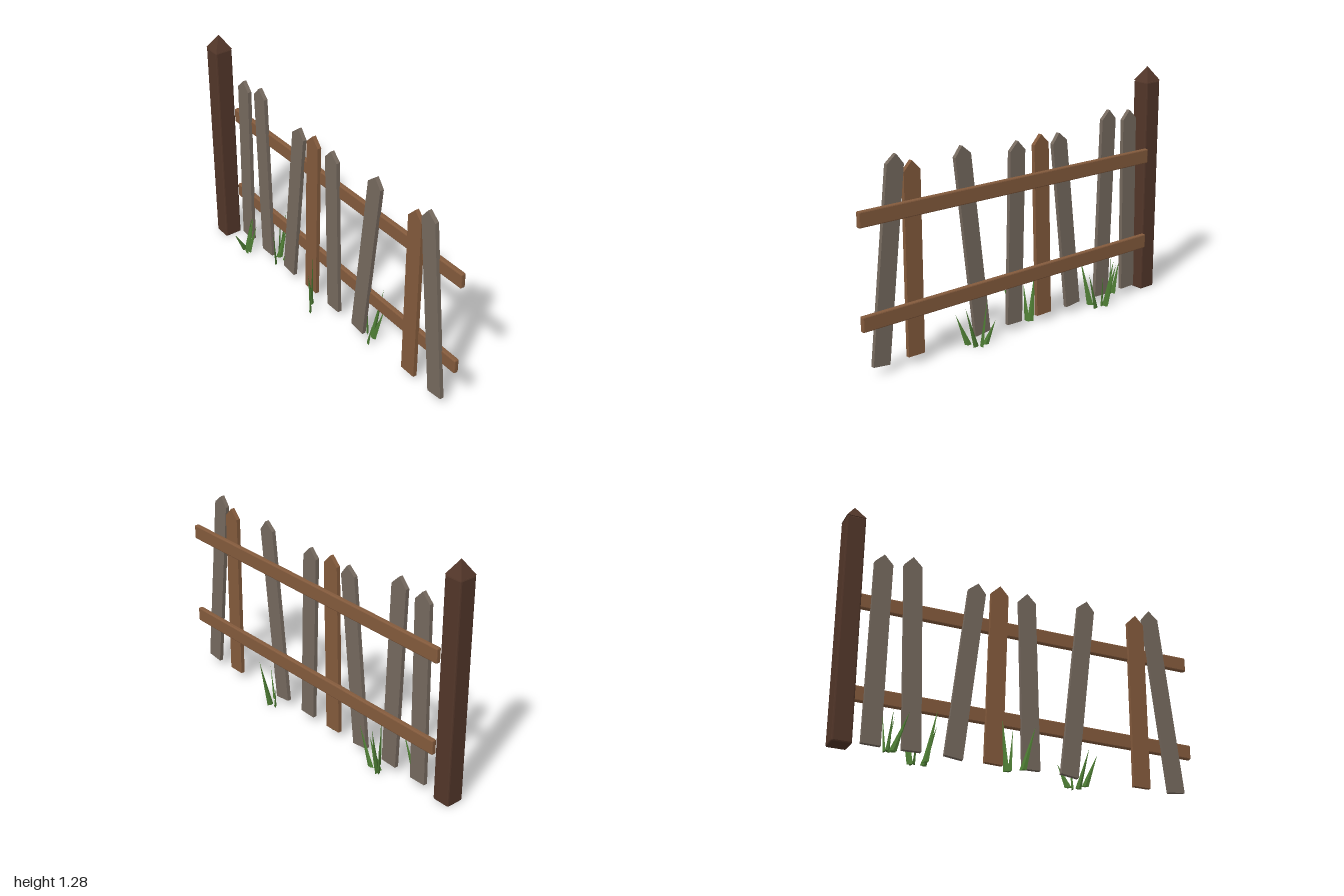
import * as THREE from 'three';
import { RoundedBoxGeometry } from 'three/addons/geometries/RoundedBoxGeometry.js';

function material(name, color) {
  const m = new THREE.MeshStandardMaterial({ color, flatShading: true });
  m.name = name;
  return m;
}

export function createModel() {
  const group = new THREE.Group();
  const darkWood = material('darkWood', 0x523629);
  const brownWood = material('brownWood', 0x835a3c);
  const greyWood = material('greyWood', 0x75695e);
  const grassGreen = material('grassGreen', 0x4f7f35);

  const add = (name, geometry, mat, x = 0, y = 0, z = 0) => {
    const mesh = new THREE.Mesh(geometry, mat);
    mesh.name = name;
    mesh.position.set(x, y, z);
    group.add(mesh);
    return mesh;
  };

  // Corner post with a pyramid cap
  add('post', new RoundedBoxGeometry(0.1, 1.205, 0.1, 1, 0.008), darkWood, -0.95, 0.6025, 0.027);
  const cap = new THREE.ConeGeometry(0.1 / Math.SQRT2, 0.078, 4).rotateY(Math.PI / 4);
  add('postCap', cap, darkWood, -0.95, 1.244, 0.027);

  // Two slightly sloping rails behind the pickets: height at left end, at right end
  for (const [name, y0, y1] of [['topRail', 0.795, 0.808], ['bottomRail', 0.299, 0.291]]) {
    const rail = add(name, new RoundedBoxGeometry(1.9, 0.08, 0.027, 1, 0.006), brownWood,
      0.05, (y0 + y1) / 2, -0.0325);
    rail.rotation.z = Math.atan2(y1 - y0, 1.9);
  }

  // Pointed pickets: bottom x, apex x, apex y, material
  const pickets = [
    [-0.787, -0.77, 1.07, greyWood],
    [-0.583, -0.616, 1.092, greyWood],
    [-0.368, -0.254, 1.022, greyWood],
    [-0.157, -0.13, 1.034, brownWood],
    [0.048, 0.026, 1.024, greyWood],
    [0.262, 0.382, 1.057, greyWood],
    [0.681, 0.681, 1.035, brownWood],
    [0.888, 0.769, 1.082, greyWood],
  ];
  const bottom = 0.043, half = 0.0485;
  for (const [x0, x1, top, mat] of pickets) {
    const length = Math.hypot(x1 - x0, top - bottom);
    const outline = new THREE.Shape([
      new THREE.Vector2(-half, 0),
      new THREE.Vector2(half, 0),
      new THREE.Vector2(half, length - 0.05),
      new THREE.Vector2(0, length),
      new THREE.Vector2(-half, length - 0.05),
    ]);
    const board = new THREE.ExtrudeGeometry(outline, { depth: 0.022, bevelEnabled: false });
    add('picket', board, mat, x0, bottom, -0.023).rotation.z = -Math.atan2(x1 - x0, top - bottom);
  }

  // Grass blades: base x, base z, tip x, tip y, tip z
  const blades = [
    [-0.70, 0.05, -0.617, 0.22, 0.045],
    [-0.70, 0.065, -0.65, 0.135, 0.07],
    [-0.72, 0.045, -0.69, 0.23, 0.02],
    [-0.735, 0.04, -0.738, 0.2, 0.0],
    [-0.73, 0.055, -0.72, 0.14, 0.13],
    [-0.565, -0.07, -0.605, 0.24, -0.11],
    [-0.56, -0.075, -0.568, 0.28, -0.128],
    [-0.55, -0.06, -0.522, 0.2, -0.095],
    [-0.50, -0.065, -0.43, 0.22, -0.08],
    [-0.51, -0.01, -0.47, 0.26, 0.03],
    [-0.105, 0.03, -0.118, 0.285, 0.01],
    [-0.09, 0.04, -0.085, 0.21, 0.065],
    [-0.04, 0.085, 0.012, 0.22, 0.12],
    [0.28, -0.06, 0.235, 0.13, -0.09],
    [0.31, -0.07, 0.32, 0.28, -0.13],
    [0.335, -0.055, 0.408, 0.23, -0.065],
    [0.35, -0.01, 0.41, 0.17, 0.015],
  ];
  for (const [bx, bz, tx, ty, tz] of blades) {
    // Flattened cone, sheared so that its tip leans out
    const lean = Math.hypot(tx - bx, tz - bz);
    const blade = new THREE.ConeGeometry(0.018, ty, 4).translate(0, ty / 2, 0).scale(1, 1, 0.35);
    const p = blade.attributes.position;
    for (let i = 0; i < p.count; i++) p.setX(i, p.getX(i) + lean * (p.getY(i) / ty));
    add('grassBlade', blade, grassGreen, bx, 0, bz).rotation.y = -Math.atan2(tz - bz, tx - bx);
  }

  return group;
}
